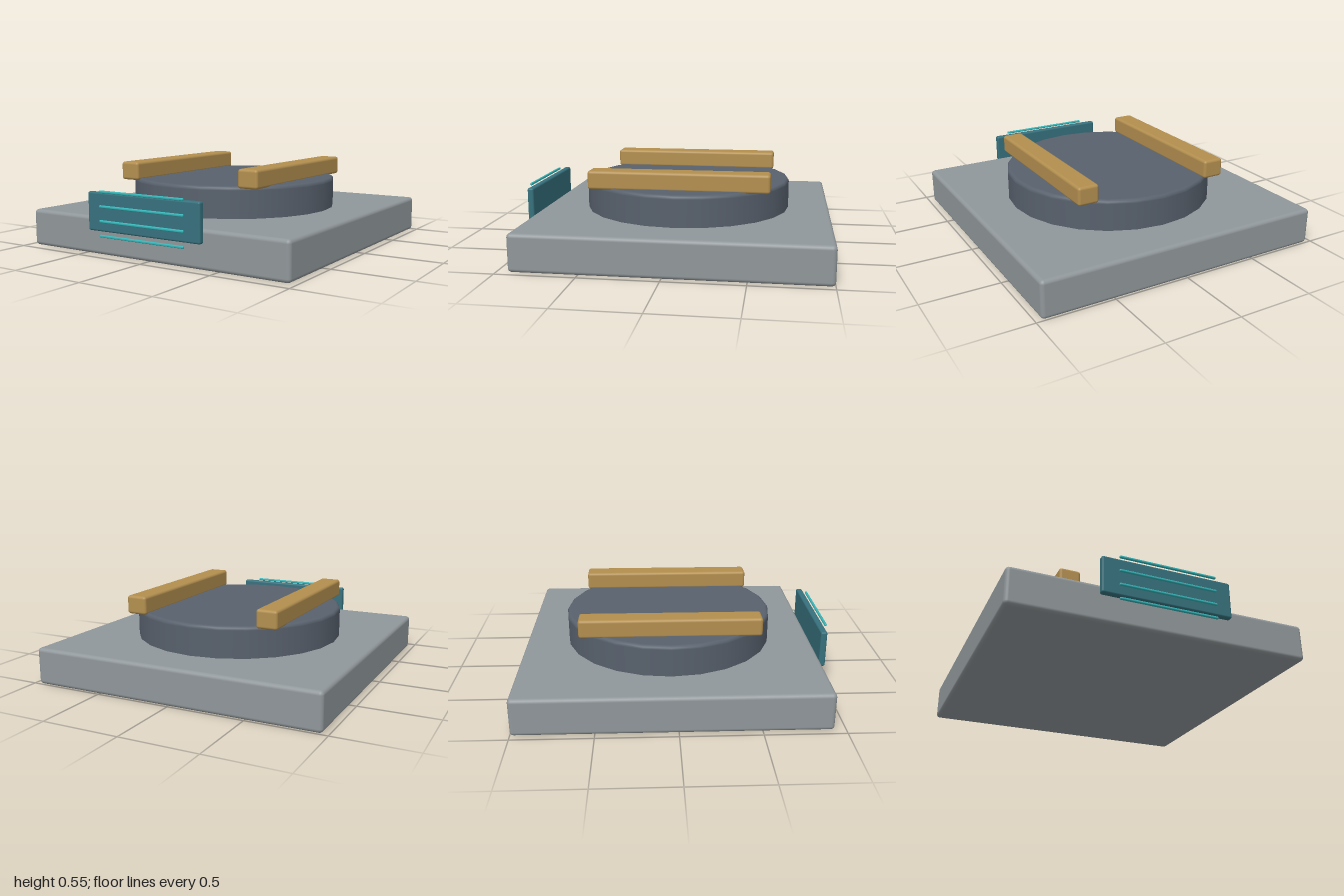
import * as THREE from 'three';
import { RoundedBoxGeometry } from 'three/addons/geometries/RoundedBoxGeometry.js';

const paint = (name, color) => {
  const material = new THREE.MeshStandardMaterial({ color });
  material.name = name;
  return material;
};

export function createModel() {
  const model = new THREE.Group();
  model.name = 'pedestal';
  const grey = paint('stone grey', 0x90979a);
  const slate = paint('slate', 0x58616d);
  const ochre = paint('ochre', 0xb38f4f);
  const teal = paint('dark teal', 0x36717d);
  const cyan = paint('bright cyan', 0x35b5b8);

  const add = (name, geometry, material, x, y, z) => {
    const mesh = new THREE.Mesh(geometry, material);
    mesh.name = name;
    mesh.position.set(x, y, z);
    model.add(mesh);
  };
  const box = (name, material, size, position, radius) =>
    add(name, new RoundedBoxGeometry(...size, 3, radius), material, ...position);

  // Square base slab
  box('base', grey, [1.93, 0.24, 1.93], [0, 0.12, -0.035], 0.025);

  // Round platform with a softened rim, sunk slightly into the base
  const radius = 0.69, top = 0.44, bevel = 0.02;
  const profile = [new THREE.Vector2(radius, 0.22), new THREE.Vector2(radius, top - bevel - 0.004)];
  for (let i = 0; i <= 3; i++) {
    const a = (i / 3) * Math.PI / 2;
    profile.push(new THREE.Vector2(radius - bevel + bevel * Math.cos(a), top - bevel + bevel * Math.sin(a)));
  }
  profile.push(new THREE.Vector2(radius - bevel - 0.004, top), new THREE.Vector2(0, top));
  add('platform', new THREE.LatheGeometry(profile, 24), slate, 0, 0, -0.035);

  // Pair of rails across the platform
  for (const [side, name] of [[1, 'leftRail'], [-1, 'rightRail']]) {
    box(name, ochre, [0.14, 0.12, 1.155], [side * 0.46, 0.489, -0.034], 0.018);
  }

  // Front panel standing just clear of the base
  box('frontPanel', teal, [0.845, 0.242, 0.042], [0, 0.282, 0.961], 0.012);

  // Thin light strips in front of the panel
  for (let i = 0; i < 4; i++) {
    box('lightStrip' + (i + 1), cyan, [0.635, 0.016, 0.016], [0, 0.136 + i * 0.0913, 0.992], 0.006);
  }
  return model;
}
